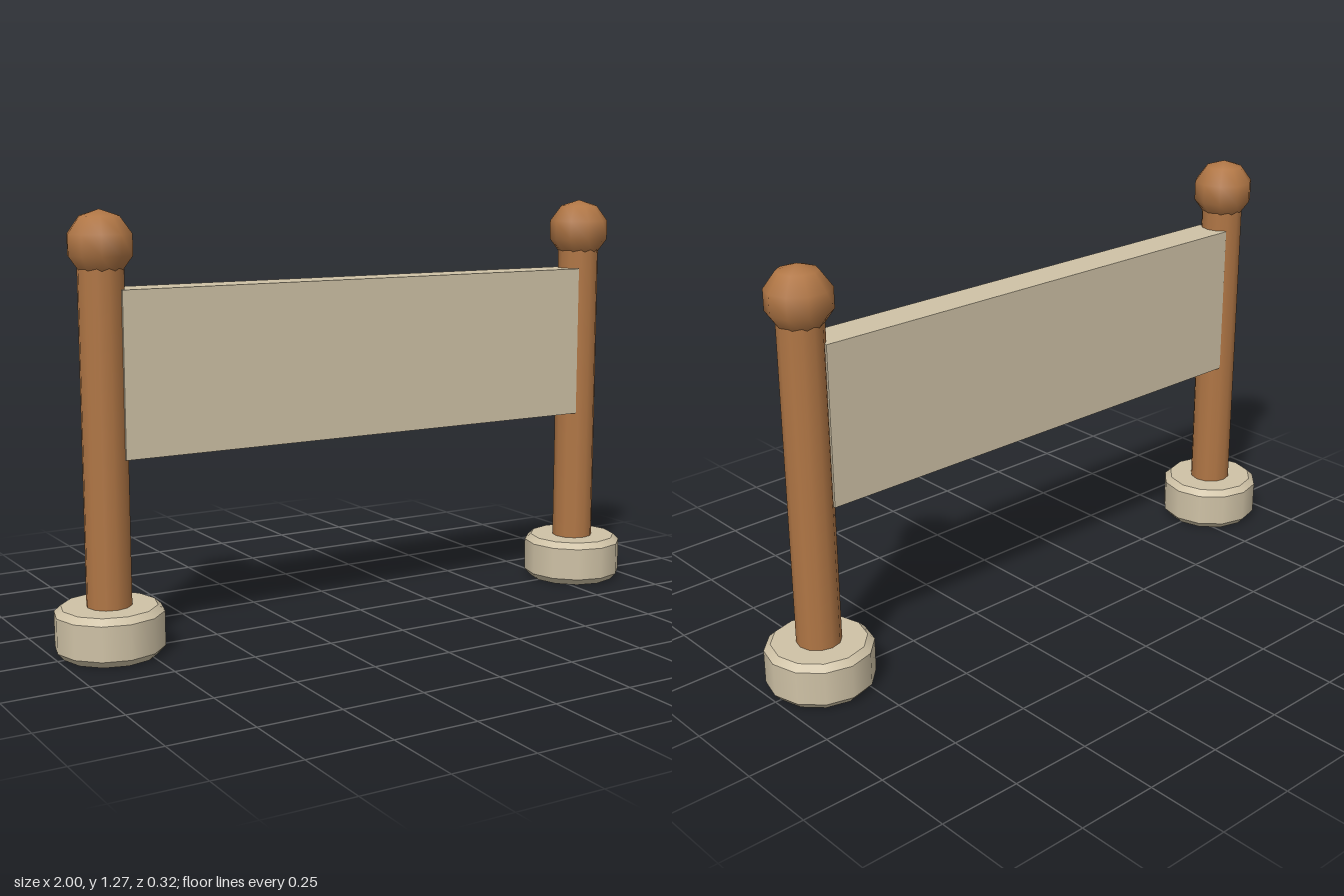
import * as THREE from 'three';

export function createModel() {
  const model = new THREE.Group();
  model.name = 'bannerStand';

  const stone = new THREE.MeshStandardMaterial({ color: 0xcfc2a6 });
  stone.name = 'pale stone';
  const wood = new THREE.MeshStandardMaterial({ color: 0xb07645 });
  wood.name = 'warm wood';

  const add = (parent, name, geometry, material, y) => {
    const mesh = new THREE.Mesh(geometry, material);
    mesh.name = name;
    mesh.position.y = y;
    parent.add(mesh);
  };

  // Round section between two heights, smooth around, with crisp rims
  const drum = (parent, name, material, y0, y1, r0, r1, open) =>
    add(parent, name, new THREE.CylinderGeometry(r1, r0, y1 - y0, 12, 1, open), material, (y0 + y1) / 2);

  for (const side of [-1, 1]) {
    const post = new THREE.Group();
    post.name = side > 0 ? 'leftPost' : 'rightPost';
    post.position.x = side * 0.84;

    // Foot with bevelled bottom and top edges
    drum(post, 'footLowerBevel', stone, 0, 0.022, 0.14, 0.16, false);
    drum(post, 'footBand', stone, 0.022, 0.125, 0.16, 0.16, true);
    drum(post, 'footUpperBevel', stone, 0.125, 0.143, 0.16, 0.14, false);

    // Shaft and ball finial
    drum(post, 'shaft', wood, 0.13, 1.14, 0.066, 0.066, false);
    add(post, 'finial', new THREE.SphereGeometry(0.098, 10, 5), wood, 1.174);
    model.add(post);
  }

  // Panel held between the posts
  add(model, 'panel', new THREE.BoxGeometry(1.6, 0.48, 0.115), stone, 0.81);

  return model;
}
